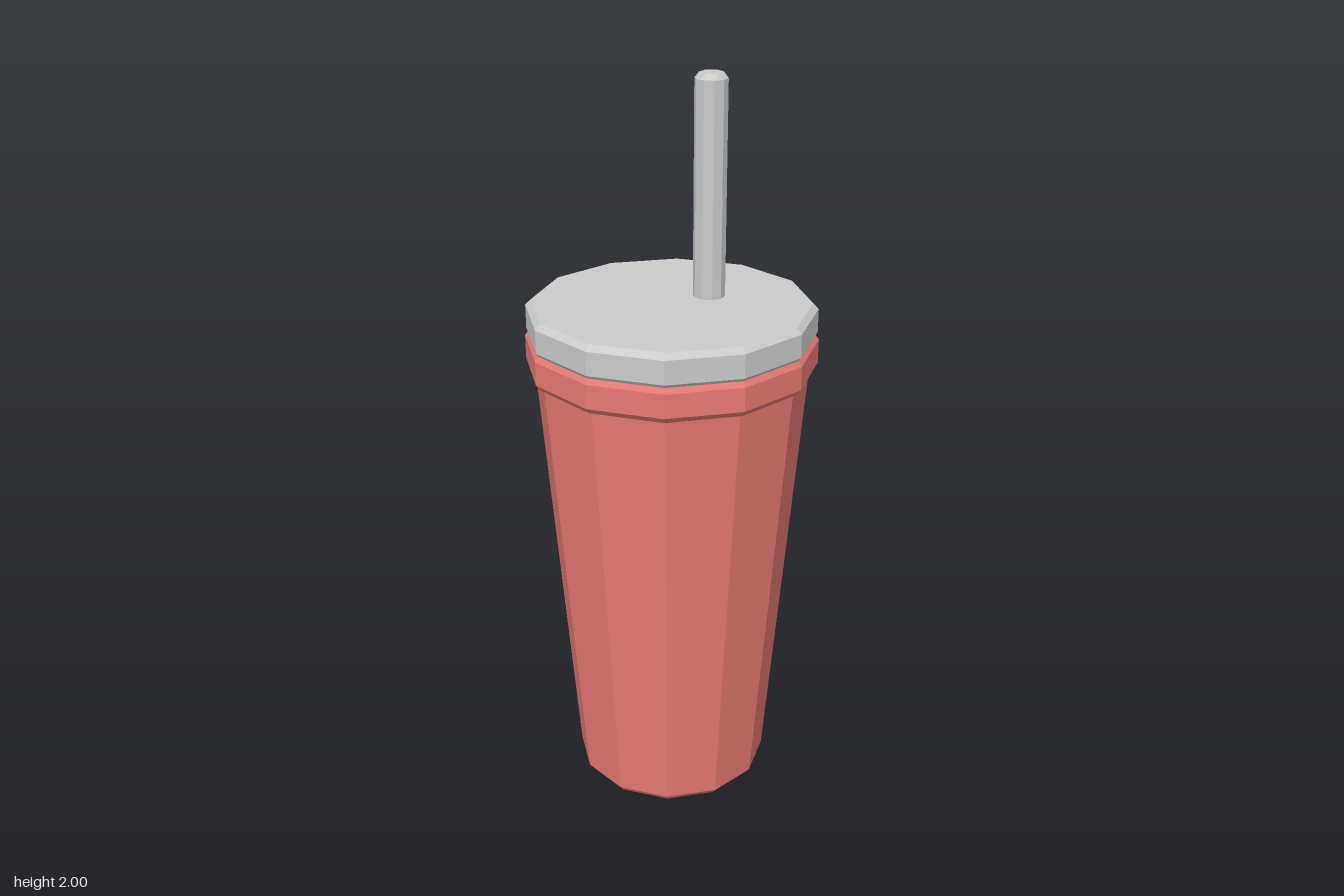
import * as THREE from 'three';
import { ConvexGeometry } from 'three/addons/geometries/ConvexGeometry.js';

const SIDES = 12;
const red = new THREE.MeshStandardMaterial({ color: 0xe87a74, flatShading: true });
const grey = new THREE.MeshStandardMaterial({ color: 0xcccccc, flatShading: true });

// Faceted solid of revolution from [radius, height] pairs, bottom to top
function turned(name, profile, material) {
  const points = profile.map(([r, y]) => new THREE.Vector2(r, y));
  const mesh = new THREE.Mesh(new THREE.LatheGeometry(points, SIDES), material);
  mesh.name = name;
  return mesh;
}

// Horizontal ring of points around the straw's axis
function ring(count, radius, y, start = 0) {
  return Array.from({ length: count }, (_, i) => {
    const a = start + (i / count) * Math.PI * 2;
    return new THREE.Vector3(Math.cos(a) * radius, y, Math.sin(a) * radius);
  });
}

export function createModel() {
  const group = new THREE.Group();
  group.name = 'drinkCup';

  // Tapered cup with a small bevel at the foot
  group.add(turned('cupBody', [
    [0, 0], [0.258, 0], [0.272, 0.018], [0.368, 1.25], [0, 1.25],
  ], red));

  // Bevelled band around the rim
  group.add(turned('cupRim', [
    [0, 1.24], [0.376, 1.24], [0.389, 1.256], [0.389, 1.32], [0.38, 1.333], [0, 1.333],
  ], red));

  // Flat lid with bevelled edges
  group.add(turned('lid', [
    [0, 1.33], [0.376, 1.33], [0.385, 1.342], [0.385, 1.405], [0.37, 1.42], [0, 1.42],
  ], grey));

  // Straw, off centre, narrowing to a six-sided tip
  const straw = new THREE.Mesh(new ConvexGeometry([
    ...ring(10, 0.043, 1.34),
    ...ring(10, 0.043, 1.985),
    ...ring(6, 0.031, 2, Math.PI / 6),
  ]), grey);
  straw.name = 'straw';
  straw.position.x = 0.112;
  group.add(straw);

  return group;
}
